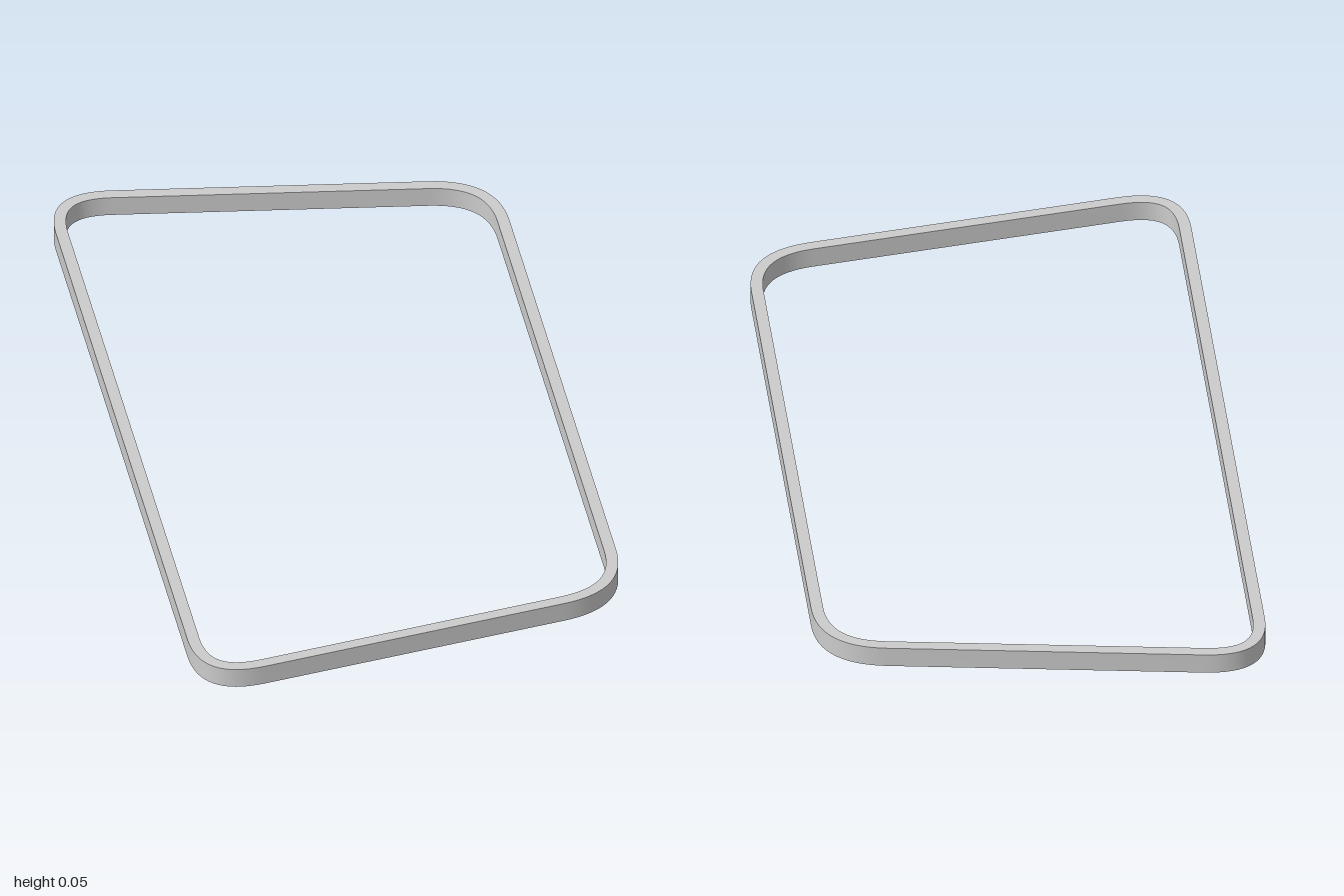
import * as THREE from 'three';
import { toCreasedNormals } from 'three/addons/utils/BufferGeometryUtils.js';

const HEIGHT = 0.053, WIDTH = 0.03, ROUND = 0.17, STEPS = 16;

// Corners of the tapered outline (long side on -x), counter-clockwise
const CORNERS = [[-0.555, -1.021], [0.555, -0.86], [0.555, 0.86], [-0.555, 1.021]]
  .map(([x, y]) => new THREE.Vector2(x, y));

// Rounded outline, offset inwards along its normals
function outline(inset) {
  const points = [];
  CORNERS.forEach((corner, i) => {
    const toward = (other) => other.clone().sub(corner).setLength(ROUND).add(corner);
    const curve = new THREE.QuadraticBezierCurve(
      toward(CORNERS[(i + 3) % 4]), corner, toward(CORNERS[(i + 1) % 4]));
    for (let k = 0; k <= STEPS; k++) {
      const t = curve.getTangent(k / STEPS);
      points.push(curve.getPoint(k / STEPS).add(new THREE.Vector2(-t.y, t.x).multiplyScalar(inset)));
    }
  });
  return points;
}

export function createModel() {
  const group = new THREE.Group();
  group.name = 'tapered frame';

  // Thin band with an open middle, laid flat
  const shape = new THREE.Shape(outline(0));
  shape.holes.push(new THREE.Path(outline(WIDTH).reverse()));
  const band = new THREE.ExtrudeGeometry(shape, { depth: HEIGHT, bevelEnabled: false });
  band.rotateX(-Math.PI / 2);

  const frame = new THREE.Mesh(
    toCreasedNormals(band, Math.PI / 5),
    new THREE.MeshStandardMaterial({ color: 0xcccccc }));
  frame.name = 'frameBand';
  group.add(frame);
  return group;
}
